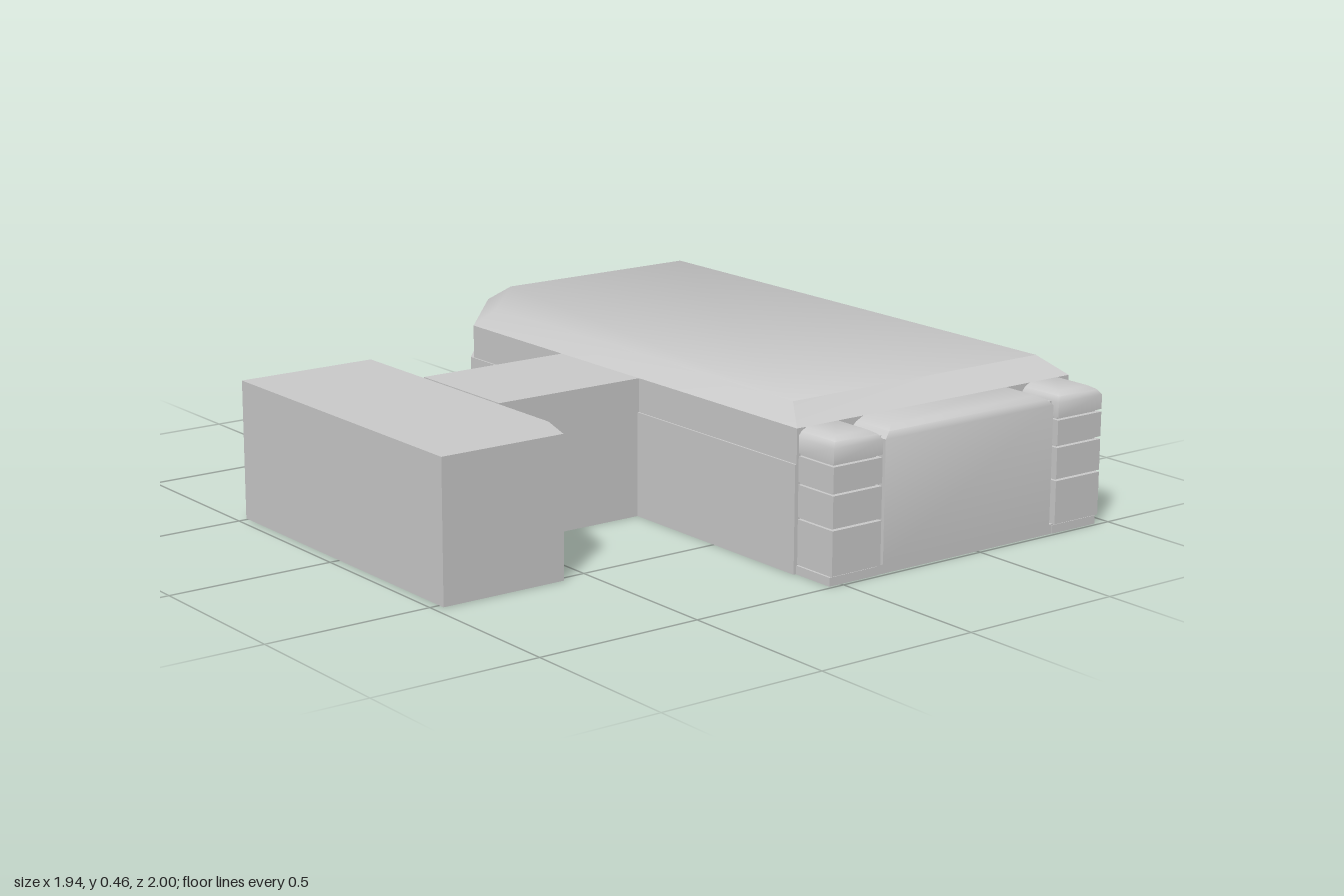
import * as THREE from 'three';
import { toCreasedNormals } from 'three/addons/utils/BufferGeometryUtils.js';

const material = new THREE.MeshStandardMaterial({ color: 0xcccccc });

// Solid through stacked convex outlines: rings = [[y, [[x, z], ...]], ...],
// corners running counterclockwise seen from above.
function loft(rings, crease = 0.1) {
  const v = [];
  const at = (r, i) => {
    const [y, pts] = rings[r];
    const [x, z] = pts[i % pts.length];
    return [x, y, z];
  };
  const n = rings[0][1].length, top = rings.length - 1;
  for (let r = 0; r < top; r++)
    for (let i = 0; i < n; i++) {
      const a = at(r, i), b = at(r, i + 1), c = at(r + 1, i + 1), d = at(r + 1, i);
      v.push(...a, ...b, ...c, ...a, ...c, ...d);
    }
  for (let i = 1; i < n - 1; i++) {
    v.push(...at(top, 0), ...at(top, i), ...at(top, i + 1));
    v.push(...at(0, 0), ...at(0, i + 1), ...at(0, i));
  }
  const g = new THREE.BufferGeometry();
  g.setAttribute('position', new THREE.Float32BufferAttribute(v, 3));
  return toCreasedNormals(g, crease);
}

const rect = (x0, x1, z0, z1) => [[x0, z1], [x1, z1], [x1, z0], [x0, z0]];

export function createModel() {
  const model = new THREE.Group();
  const add = (name, geometry, parent = model) => {
    const mesh = new THREE.Mesh(geometry, material);
    mesh.name = name;
    parent.add(mesh);
    return mesh;
  };
  const block = (name, x0, x1, y0, y1, z0, z1, parent) =>
    add(name, loft([[y0, rect(x0, x1, z0, z1)], [y1, rect(x0, x1, z0, z1)]]), parent);

  // Main hall: wider base band, upper wall, bevelled roof
  const base = [[-0.05, 0.85], [0.97, 0.85], [0.97, -1], [0.2, -1], [-0.05, -0.71]];
  const wall = [[-0.045, 0.85], [0.97, 0.85], [0.97, -0.987], [0.205, -0.987], [-0.045, -0.7]];
  const roof = [[0.01, 0.765], [0.92, 0.765], [0.92, -0.91], [0.24, -0.91], [0.01, -0.66]];
  add('hallBase', loft([[0, base], [0.31, base]]));
  add('hallUpperWall', loft([[0.31, wall], [0.41, wall]]));
  add('hallRoof', loft([[0.41, wall], [0.46, roof]], 0.85));

  // Connecting wing, with a low link to the side building
  block('connectingWing', -0.53, -0.045, 0, 0.41, -0.235, 0.145);
  block('lowLink', -0.545, -0.53, 0, 0.31, -0.21, 0.14);

  // Side building with one cut corner
  const side = [[-0.97, 0.52], [-0.58, 0.52], [-0.537, 0.39], [-0.537, -0.51], [-0.97, -0.51]];
  add('sideBuilding', loft([[0, side], [0.41, side]], 0.5));

  // Front facade: recessed core, sill and central panel
  const facade = new THREE.Group();
  facade.name = 'frontFacade';
  model.add(facade);
  block('facadeCore', -0.02, 0.935, 0.01, 0.385, 0.84, 0.97, facade);
  block('sill', -0.035, 0.955, 0, 0.028, 0.84, 0.988, facade);
  add('centralPanel', loft([
    [0.028, rect(0.145, 0.77, 0.84, 0.994)],
    [0.38, rect(0.145, 0.77, 0.84, 0.994)],
    [0.398, rect(0.165, 0.75, 0.84, 0.985)],
    [0.41, rect(0.19, 0.725, 0.84, 0.965)],
  ], 0.7), facade);

  // Corner towers: stacked storeys split by thin grooves
  const storeys = [[0.03, 0.157], [0.163, 0.254], [0.262, 0.334], [0.342, 0.41]];
  for (const [name, x0, x1] of [['rightTower', -0.042, 0.13], ['leftTower', 0.785, 0.955]]) {
    const tower = new THREE.Group();
    tower.name = name;
    facade.add(tower);
    block('towerFoot', x0, x1, 0, 0.025, 0.84, 0.99, tower);
    block('towerCore', x0 + 0.01, x1 - 0.01, 0.02, 0.39, 0.84, 0.985, tower);
    storeys.forEach(([y0, y1], i) => {
      const outline = rect(x0, x1, 0.855, 1);
      if (i < 3) add('storey', loft([[y0, outline], [y1, outline]]), tower);
      else add('topStorey', loft([
        [y0, outline], [0.385, outline],
        [0.4, rect(x0 + 0.012, x1 - 0.012, 0.84, 0.99)],
        [y1, rect(x0 + 0.03, x1 - 0.03, 0.84, 0.97)],
      ], 0.7), tower);
    });
  }
  return model;
}
